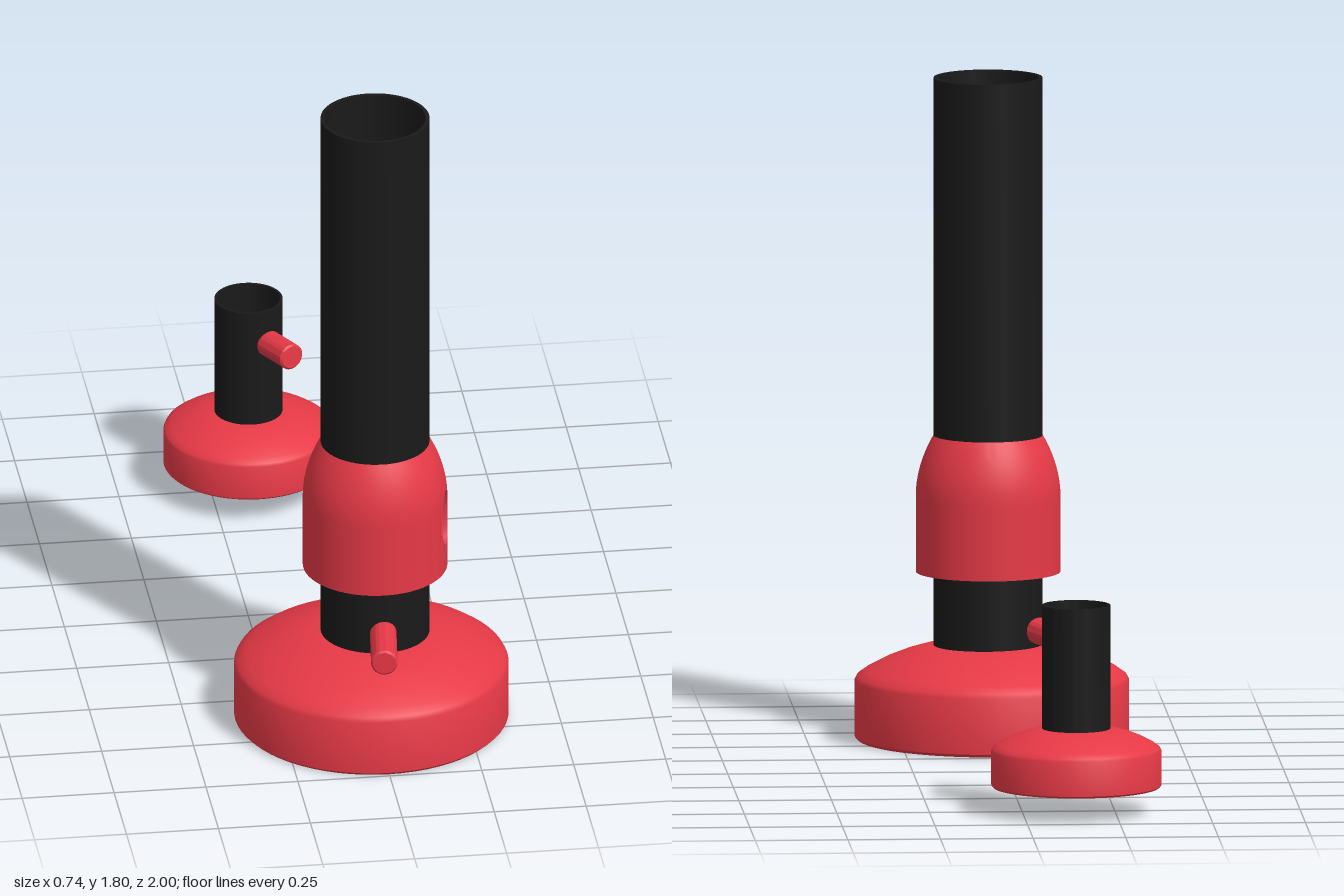
import * as THREE from 'three';
import { toCreasedNormals } from 'three/addons/utils/BufferGeometryUtils.js';
import { ParametricGeometry } from 'three/addons/geometries/ParametricGeometry.js';

const red = new THREE.MeshStandardMaterial({ color: 0xe63946 });
const black = new THREE.MeshStandardMaterial({ color: 0x1a1a1a });
const CREASE = 0.6;

function add(group, name, geometry, material) {
  const mesh = new THREE.Mesh(toCreasedNormals(geometry, CREASE), material);
  mesh.name = name;
  group.add(mesh);
  return mesh;
}

function lathe(points, start = 0, length = Math.PI * 2) {
  return new THREE.LatheGeometry(points.map(([r, y]) => new THREE.Vector2(r, y)), 64, start, length);
}

// Domed disc that the burner stands on
function addBase(group, s) {
  const profile = [[0, 0], [0.362, 0], [0.37, 0.008], [0.37, 0.16], [0.364, 0.172], [0.34, 0.189],
    [0.29, 0.215], [0.24, 0.235], [0.19, 0.25], [0.14, 0.258], [0, 0.258]];
  add(group, 'base', lathe(profile.map(([r, y]) => [r * s, y * s])), red);
}

// Open-topped pipe with a floor inside
function addTube(group, radius, bottom, top) {
  const inner = radius * 0.93;
  add(group, 'tube', lathe([[0, bottom], [radius, bottom], [radius, top], [inner, top],
    [inner, bottom + 0.02], [0, bottom + 0.02]]), black);
}

// Short gas inlet rod between two points, with a slightly bevelled tip
function addInlet(group, from, to, r) {
  const a = new THREE.Vector3(...from), b = new THREE.Vector3(...to);
  const length = a.distanceTo(b);
  const rod = add(group, 'gasInlet',
    lathe([[0, 0], [r, 0], [r, length - 0.005], [r - 0.005, length], [0, length]]), red);
  rod.position.copy(a);
  rod.quaternion.setFromUnitVectors(new THREE.Vector3(0, 1, 0), b.sub(a).normalize());
}

// Hollow collar with an oval air hole through its wall
function addCollar(group) {
  const y0 = 0.455, y1 = 0.83, wall = 0.025;
  const holeY = 0.61, holePhi = Math.PI / 2 - 0.31, halfPhi = 0.5;
  const radius = (y) => 0.195 - 0.05 * Math.max(0, (y - 0.66) / 0.17) ** 2;
  const collar = new THREE.Group();
  collar.name = 'airCollar';
  group.add(collar);

  // Plain part of the ring
  const ys = Array.from({ length: 21 }, (_, i) => y0 + (y1 - y0) * i / 20);
  const outer = ys.map((y) => [radius(y), y]);
  const inner = ys.map((y) => [radius(y) - wall, y]).reverse();
  add(collar, 'collarRing', lathe([...outer, ...inner, outer[0]],
    holePhi + halfPhi, Math.PI * 2 - 2 * halfPhi), red);

  // Pierced part: from the rectangular border in to the oval, through the wall and back out
  const pierced = (u, v, target) => {
    const t = u * Math.PI * 2, c = Math.cos(t), s = Math.sin(t);
    const m = Math.max(Math.abs(c), Math.abs(s));
    const step = Math.round(v * 20);
    const k = step <= 9 ? step / 9 : step <= 19 ? (19 - step) / 9 : 0;
    const depth = step <= 9 || step === 20 ? 0 : wall;
    const f = Math.min(1, k);
    const phi = holePhi + THREE.MathUtils.lerp(c / m * halfPhi, c * 0.21, f);
    const y = holeY + THREE.MathUtils.lerp(s / m * (s > 0 ? y1 - holeY : holeY - y0), s * 0.08, f);
    const r = radius(y) - depth;
    target.set(r * Math.sin(phi), y, r * Math.cos(phi));
  };
  add(collar, 'airHole', new ParametricGeometry(pierced, 64, 20), red);
}

export function createModel() {
  const model = new THREE.Group();
  model.name = 'gasBurners';

  // Tall burner with air collar
  const tall = new THREE.Group();
  tall.name = 'tallBurner';
  tall.position.set(0, 0, 0.628);
  addBase(tall, 1);
  const upper = new THREE.Group();
  upper.name = 'barrel';
  upper.position.x = 0.01;
  addTube(upper, 0.147, 0.2, 1.8);
  addCollar(upper);
  tall.add(upper);
  addInlet(tall, [0.026, 0.315, 0.03], [-0.008, 0.315, 0.322], 0.036);

  // Short burner, raised a little
  const short = new THREE.Group();
  short.name = 'shortBurner';
  short.position.set(-0.145, 0.07, -0.771);
  addBase(short, 0.62);
  addTube(short, 0.092, 0.13, 0.495);
  addInlet(short, [0.022, 0.392, 0.03], [0.094, 0.4, 0.18], 0.036);

  model.add(tall, short);
  return model;
}
